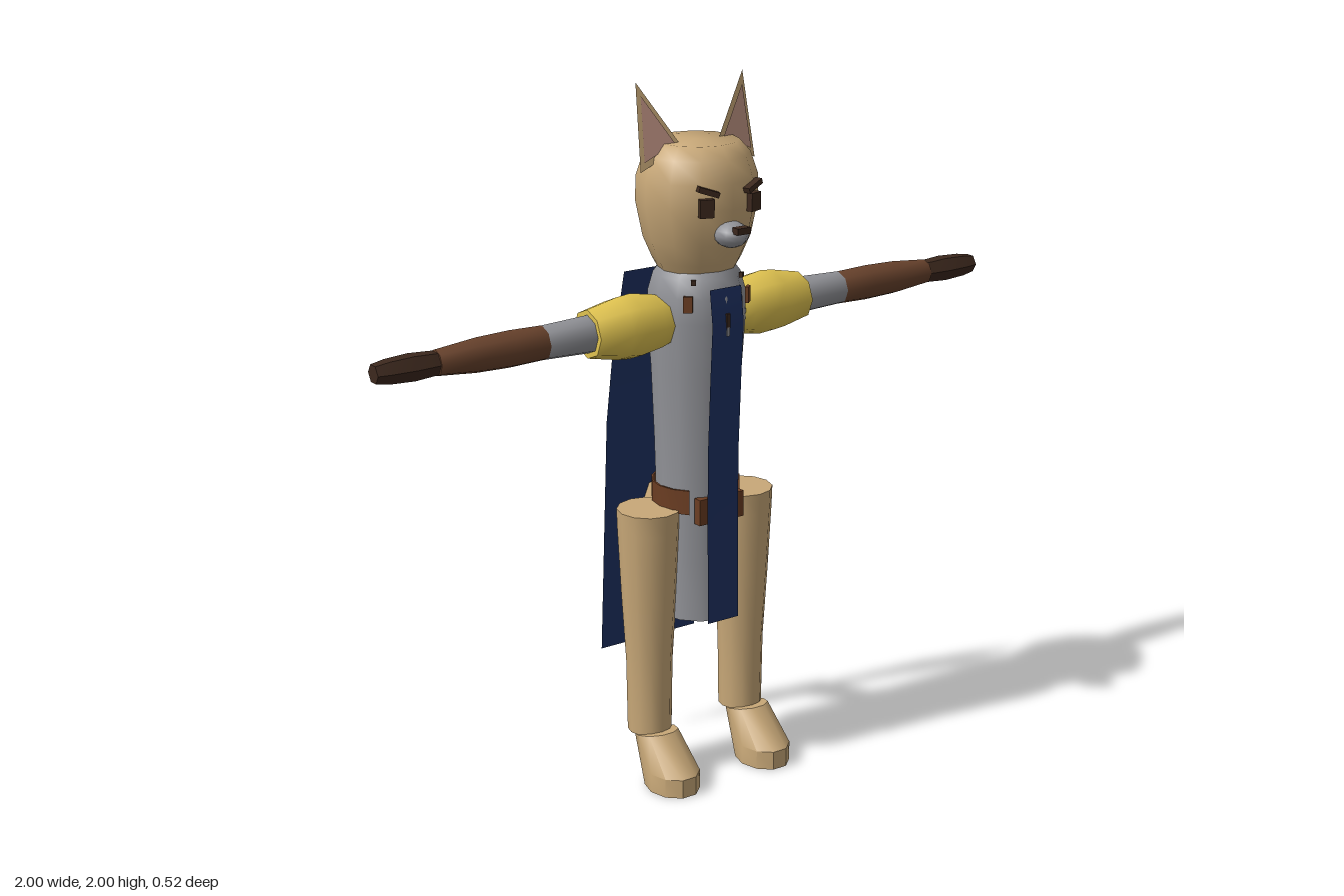
import * as THREE from 'three';
import { toCreasedNormals } from 'three/addons/utils/BufferGeometryUtils.js';
import { ConvexGeometry } from 'three/addons/geometries/ConvexGeometry.js';

const mat = (name, color, side = THREE.FrontSide) => {
  const m = new THREE.MeshStandardMaterial({ color, side });
  m.name = name;
  return m;
};

export function createModel() {
  const model = new THREE.Group();
  model.name = 'caninePaladin';

  const fur = mat('tan fur', 0xc8a878);
  const steel = mat('grey tunic', 0x919297);
  const cloth = mat('blue cloth', 0x1f3264, THREE.DoubleSide);
  const gold = mat('yellow sleeve', 0xe0c350);
  const leather = mat('brown leather', 0x68422c);
  const strap = mat('belt brown', 0x6b3d22, THREE.DoubleSide);
  const glove = mat('dark brown', 0x3c281d);
  const pink = mat('inner ear pink', 0xc09484, THREE.DoubleSide);

  const add = (name, geo, material, x = 0, y = 0, z = 0, parent = model) => {
    const mesh = new THREE.Mesh(geo, material);
    mesh.name = name;
    mesh.position.set(x, y, z);
    parent.add(mesh);
    return mesh;
  };
  // Turned solid from [radius, height] pairs, closed at both ends
  const turned = (profile, sides) => {
    const first = profile[0], last = profile[profile.length - 1];
    const pts = [[0, first[1]], ...profile, [0, last[1]]].map(p => new THREE.Vector2(p[0], p[1]));
    return toCreasedNormals(new THREE.LatheGeometry(pts, sides), 0.9);
  };
  const hull = (points, crease = 0.1) =>
    toCreasedNormals(new ConvexGeometry(points.map(p => new THREE.Vector3(...p))), crease);
  // Cloth panel from [height, half width, depth] rows, top to bottom
  const panel = rows => {
    const geo = new THREE.PlaneGeometry(2, 1, 1, rows.length - 1);
    const pos = geo.attributes.position;
    for (let i = 0; i < pos.count; i++) {
      const [y, w, z] = rows[Math.floor(i / 2)];
      pos.setXYZ(i, pos.getX(i) * w, y, z);
    }
    geo.computeVertexNormals();
    return geo;
  };

  // Torso and skirt
  const torso = add('tunic', turned([[0.115, 0.48], [0.112, 0.65], [0.112, 0.85], [0.116, 1.0],
    [0.124, 1.2], [0.134, 1.35], [0.132, 1.42], [0.118, 1.47], [0.1, 1.495]], 12), steel, 0, 0, 0.036);
  torso.scale.z = 1.07;

  // Belt, open at the front, with its plate
  const beltGeo = new THREE.LatheGeometry(
    [[0.12, 0.8], [0.126, 0.8], [0.126, 0.87], [0.12, 0.87]].map(p => new THREE.Vector2(...p)),
    12, 0.75, Math.PI * 2 - 1.5);
  add('belt', toCreasedNormals(beltGeo, 0.7), strap, 0, 0, 0.033);
  add('beltPlate', new THREE.BoxGeometry(0.15, 0.075, 0.025), strap, 0, 0.813, 0.147);

  // Cloth panels
  add('tabard', panel([[1.45, 0.052, 0.172], [1.35, 0.052, 0.185], [1.2, 0.052, 0.176],
    [1.0, 0.052, 0.166], [0.8, 0.052, 0.164], [0.48, 0.052, 0.168]]), cloth);
  add('cape', panel([[1.45, 0.128, -0.13], [1.2, 0.145, -0.168], [1.0, 0.152, -0.19], [0.3, 0.165, -0.21]]), cloth);

  // Chest lacing
  add('lace', new THREE.BoxGeometry(0.012, 0.04, 0.008), glove, 0, 1.36, 0.184);
  add('laceTip', new THREE.BoxGeometry(0.008, 0.025, 0.008), steel, 0, 1.33, 0.184);

  // Head
  add('head', turned([[0.105, 1.48], [0.122, 1.51], [0.148, 1.57], [0.168, 1.67], [0.166, 1.74],
    [0.146, 1.8], [0.115, 1.835]], 12), fur, 0, 0, 0.037);
  const muzzle = add('muzzle', new THREE.SphereGeometry(1, 10, 8), steel, 0, 1.603, 0.195);
  muzzle.scale.set(0.048, 0.036, 0.052);
  add('nose', new THREE.BoxGeometry(0.042, 0.018, 0.026), glove, 0, 1.622, 0.243);

  // Tail: two tapering lengths meeting at the bend
  const root = [[0.015, 0.85, -0.08], [-0.015, 0.85, -0.08], [0.015, 0.76, -0.07], [-0.015, 0.76, -0.07]];
  const bend = [[0, 0.765, -0.235], [0.036, 0.7, -0.2], [-0.036, 0.7, -0.2], [0, 0.64, -0.17]];
  add('tailRoot', hull([...root, ...bend]), fur);
  add('tailTip', hull([...bend, [0, 0.345, -0.26]]), fur);

  for (const s of [1, -1]) {
    const side = s > 0 ? 'left' : 'right';

    // Ear with inner face
    const tip = [s * 0.175, 2.0, 0.003], inner = [s * 0.06, 1.825, 0.05], outer = [s * 0.188, 1.765, 0.045];
    add(side + 'Ear', hull([tip, inner, outer, [s * 0.125, 1.79, -0.02]]), fur);
    const mid = [0, 1, 2].map(k => (tip[k] + inner[k] + outer[k]) / 3);
    const inset = [tip, inner, outer].flatMap(p =>
      p.map((v, k) => mid[k] + (v - mid[k]) * 0.74 + (k === 2 ? 0.004 : 0)));
    const innerGeo = new THREE.BufferGeometry();
    innerGeo.setAttribute('position', new THREE.Float32BufferAttribute(inset, 3));
    innerGeo.setIndex(s > 0 ? [0, 1, 2] : [0, 2, 1]);
    innerGeo.computeVertexNormals();
    add(side + 'InnerEar', innerGeo, pink);

    // Eye and slanted brow
    add(side + 'Eye', new THREE.BoxGeometry(0.04, 0.05, 0.018), glove, s * 0.078, 1.682, 0.192).rotation.y = s * 0.3;
    const brow = add(side + 'Brow', new THREE.BoxGeometry(0.06, 0.015, 0.022), glove, s * 0.073, 1.726, 0.193);
    brow.rotation.set(0, s * 0.3, s * 0.33);

    // Collar fastenings
    add(side + 'CollarTab', new THREE.BoxGeometry(0.025, 0.045, 0.01), strap, s * 0.1, 1.41, 0.138).rotation.y = s * 0.7;
    add(side + 'CollarStud', new THREE.BoxGeometry(0.014, 0.014, 0.01), glove, s * 0.08, 1.467, 0.135).rotation.y = s * 0.6;

    // Arm, laid out along x
    const arm = new THREE.Group();
    arm.name = side + 'Arm';
    arm.position.set(0, 1.345, 0.033);
    arm.rotation.z = -s * Math.PI / 2;
    model.add(arm);
    const armPart = (name, profile, sides, material) =>
      add(side + name, turned(profile, sides), material, 0, 0, 0, arm);
    armPart('Sleeve', [[0.065, 0.1], [0.08, 0.15], [0.092, 0.22], [0.088, 0.26], [0.068, 0.355]], 8, gold);
    armPart('Elbow', [[0.054, 0.34], [0.048, 0.5]], 8, steel);
    armPart('Bracer', [[0.048, 0.495], [0.051, 0.6], [0.048, 0.7], [0.036, 0.82]], 8, leather);
    armPart('Hand', [[0.033, 0.815], [0.038, 0.89], [0.034, 0.96], [0.027, 1.0]], 6, glove);

    // Leg
    add(side + 'Leg', turned([[0.063, 0.14], [0.066, 0.35], [0.078, 0.55], [0.088, 0.75], [0.09, 0.81]], 12),
      fur, s * 0.16, 0, 0.032);

    // Paw foot: ankle ring, toe ridge and sole
    const foot = [];
    for (let i = 0; i < 10; i++) {
      const a = i / 10 * Math.PI * 2, c = Math.cos(a), d = Math.sin(a);
      foot.push([c * 0.062, 0.143 + d * 0.012, 0.067 + d * 0.062]);
      foot.push([c * 0.073, 0, 0.145 + d * 0.09]);
      if (d > -0.1) foot.push([c * 0.073, 0.055, 0.145 + d * 0.09]);
    }
    add(side + 'Foot', hull(foot, 0.65), fur, s * 0.16);
  }
  return model;
}
